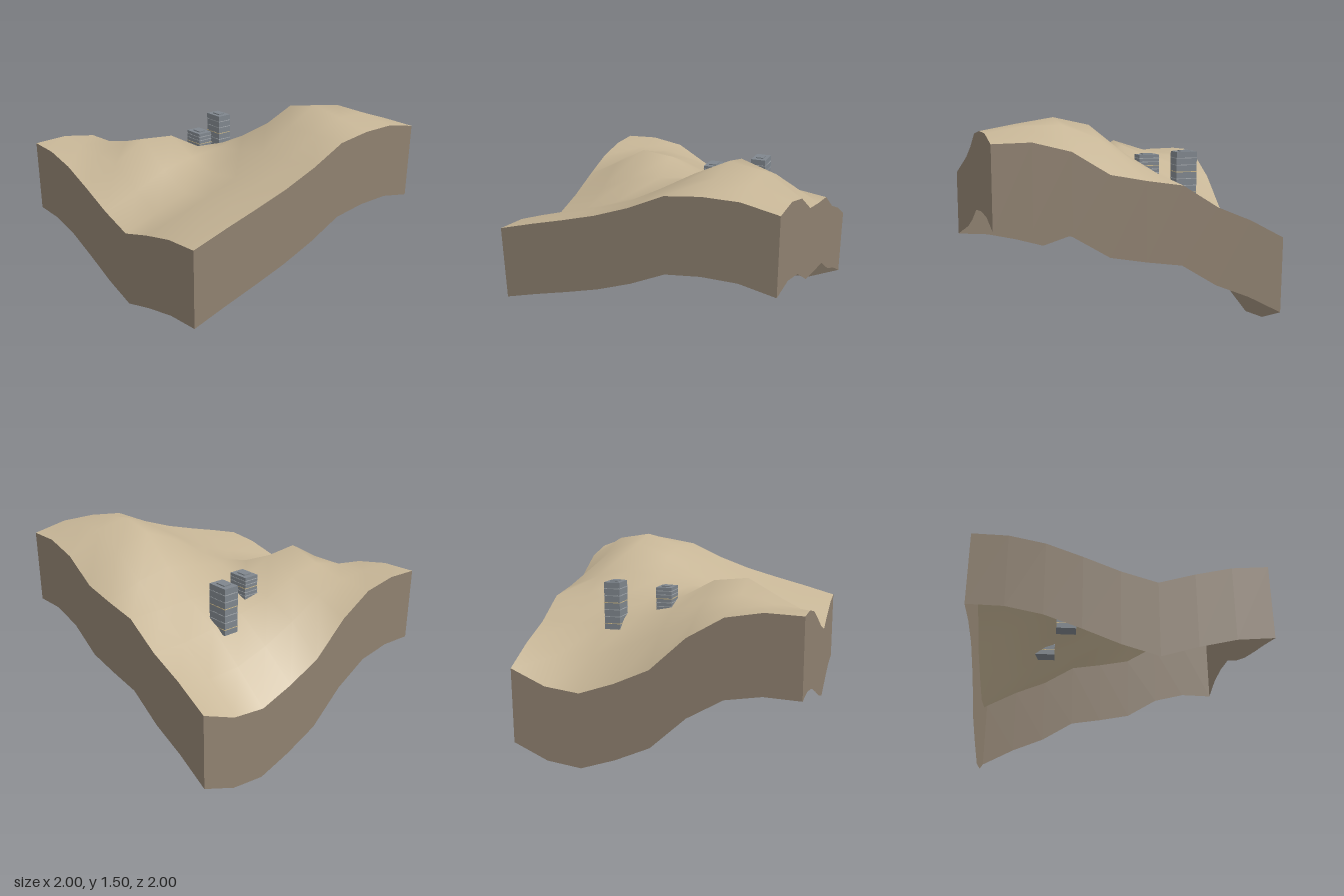
import * as THREE from 'three';

const mat = (name, color, side = THREE.FrontSide) => {
  const m = new THREE.MeshStandardMaterial({ color, side });
  m.name = name;
  return m;
};

// Ground heights on a 9 x 9 grid, rows from back (z = -1) to front (z = 1)
const HEIGHTS = [
  [1.14, 1.15, 1.108, 0.963, 0.735, 0.623, 0.538, 0.568, 0.678],
  [1.135, 1.13, 1.12, 1.06, 0.93, 0.82, 0.745, 0.74, 0.81],
  [1.085, 1.12, 1.18, 1.13, 1.03, 0.98, 0.94, 0.91, 0.913],
  [0.993, 1.12, 1.26, 1.235, 1.10, 1.08, 1.075, 1.07, 1.068],
  [0.893, 0.98, 1.09, 1.13, 1.15, 1.20, 1.25, 1.20, 1.107],
  [0.818, 0.90, 0.98, 1.07, 1.19, 1.34, 1.445, 1.365, 1.155],
  [0.893, 0.96, 1.03, 1.11, 1.24, 1.38, 1.50, 1.46, 1.307],
  [0.953, 1.02, 1.08, 1.15, 1.25, 1.385, 1.46, 1.455, 1.37],
  [0.975, 1.045, 1.11, 1.18, 1.27, 1.385, 1.415, 1.415, 1.365],
];
const N = 8;
const SKIRT = 0.535;

function createTerrain(material) {
  const geo = new THREE.PlaneGeometry(2, 2, N, N).rotateX(-Math.PI / 2);
  const pos = geo.attributes.position;
  for (let i = 0; i < pos.count; i++) {
    pos.setY(i, HEIGHTS[Math.floor(i / (N + 1))][i % (N + 1)]);
  }
  geo.computeVertexNormals();
  const mesh = new THREE.Mesh(geo, material);
  mesh.name = 'terrainSurface';
  return mesh;
}

// One wall hanging from an edge; cell(i) gives the [column, row] along it
function createSkirt(name, cell, material) {
  const geo = new THREE.PlaneGeometry(2, SKIRT, N, 1);
  const pos = geo.attributes.position;
  for (let i = 0; i < pos.count; i++) {
    const [c, r] = cell(i % (N + 1));
    const drop = i > N ? SKIRT : 0;
    pos.setXYZ(i, c / 4 - 1, HEIGHTS[r][c] - drop, r / 4 - 1);
  }
  geo.computeVertexNormals();
  const mesh = new THREE.Mesh(geo, material);
  mesh.name = name;
  return mesh;
}

function createTower(name, x, z, bottom, top, floorStep, mats) {
  const W = 0.115, D = 0.158;
  const tower = new THREE.Group();
  tower.name = name;
  tower.position.set(x, 0, z);
  const box = (part, w, h, d, y, material) => {
    const mesh = new THREE.Mesh(new THREE.BoxGeometry(w, h, d), material);
    mesh.name = part;
    mesh.position.y = y;
    tower.add(mesh);
  };
  box('towerBody', W, top - bottom, D, (top + bottom) / 2, mats.wall);
  box('roofUnit', W * 0.5, 0.008, D * 0.5, top + 0.004, mats.wall);
  // Window bands wrapping each floor
  let floor = 0;
  for (let y = top - floorStep * 0.9; y > bottom + 0.02; y -= floorStep) {
    const lit = floor++ % 3 === 2;
    box('windowBand', W + 0.003, 0.005, D + 0.003, y, lit ? mats.lit : mats.dim);
  }
  return tower;
}

export function createModel() {
  const ground = mat('sandGround', 0xc6b596, THREE.DoubleSide);
  const earth = mat('earthSide', 0x8f8170, THREE.DoubleSide);
  const mats = {
    wall: mat('greyWall', 0x7f868d),
    dim: mat('paleWindow', 0xa4a9ad),
    lit: mat('warmWindow', 0xcdb98a),
  };

  const model = new THREE.Group();
  model.name = 'hillsideTerrain';
  model.add(
    createTerrain(ground),
    createSkirt('frontSkirt', (i) => [i, N], earth),
    createSkirt('backSkirt', (i) => [N - i, 0], earth),
    createSkirt('leftSkirt', (i) => [N, N - i], earth),
    createSkirt('rightSkirt', (i) => [0, i], earth),
    createTower('tallTower', 0.412, -0.5, 0.9, 1.237, 0.05, mats),
    createTower('shortTower', 0.08, -0.335, 0.98, 1.19, 0.028, mats),
  );
  return model;
}
